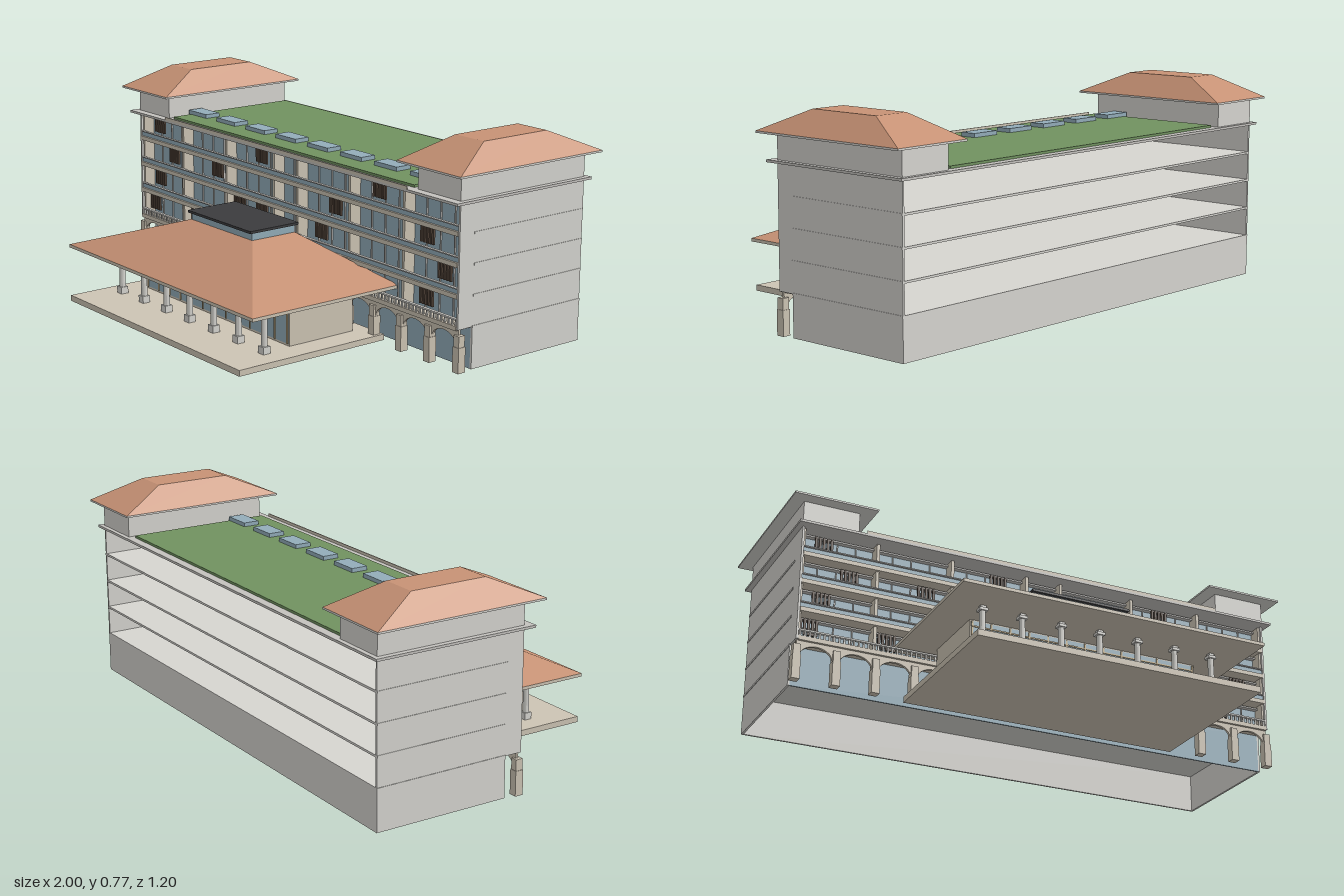
import * as THREE from 'three';

const mat = (color) => new THREE.MeshStandardMaterial({ color, side: THREE.DoubleSide, flatShading: true });

export function createModel() {
  const model = new THREE.Group();
  const wall = mat(0xd6d5d0), stone = mat(0xcdc4b4), glass = mat(0x93adba), tile = mat(0xc79275);
  const slab = mat(0xc4c2be), grass = mat(0x719260), dark = mat(0x3c3c3e), wood = mat(0x5c4c40), gold = mat(0xc9b48c);

  const add = (name, geometry, material, parent = model) => {
    const mesh = new THREE.Mesh(geometry, material);
    mesh.name = name;
    parent.add(mesh);
    return mesh;
  };
  const group = (name) => {
    const g = new THREE.Group();
    g.name = name;
    model.add(g);
    return g;
  };
  // Box given by its limits on each axis
  const box = (name, m, x0, x1, y0, y1, z0, z1, parent) => {
    const g = new THREE.BoxGeometry(x1 - x0, y1 - y0, z1 - z0);
    g.translate((x0 + x1) / 2, (y0 + y1) / 2, (z0 + z1) / 2);
    return add(name, g, m, parent);
  };
  // Hipped roof: a box whose top face is drawn in to its own limits
  const hip = (name, [x0, x1, z0, z1], y0, y1, [a0, a1, b0, b1], parent) => {
    const g = new THREE.BoxGeometry(1, 1, 1);
    const p = g.attributes.position;
    for (let i = 0; i < p.count; i++) {
      const top = p.getY(i) > 0, px = p.getX(i) > 0, pz = p.getZ(i) > 0;
      p.setXYZ(i, top ? (px ? a1 : a0) : (px ? x1 : x0), top ? y1 : y0, top ? (pz ? b1 : b0) : (pz ? z1 : z0));
    }
    g.computeVertexNormals();
    return add(name, g, tile, parent);
  };

  // Main block shell: open underneath and open at the back above the ground storey
  const shell = group('mainBlock');
  for (const s of [-1, 1]) {
    const [a, b] = s < 0 ? [-0.95, -0.942] : [0.942, 0.95];
    box('groundSideWall', wall, a, b, 0, 0.15, -0.57, -0.06, shell);
    box('upperSideWall', wall, a, b, 0.15, 0.585, -0.57, 0.005, shell);
  }
  box('groundBackWall', wall, -0.942, 0.942, 0, 0.15, -0.57, -0.562, shell);
  box('groundGlazing', glass, -0.942, 0.942, 0, 0.15, -0.066, -0.06, shell);
  box('upperGlazing', glass, -0.942, 0.942, 0.15, 0.585, -0.056, -0.05, shell);

  // Upper storeys: floor plates, balcony edges, piers, mullions and rails
  const floors = [0.15, 0.26, 0.368, 0.475];
  const piers = [-0.94, -0.66, -0.37, -0.07, 0.07, 0.37, 0.66, 0.94];
  const facade = group('facade');
  floors.forEach((y, f) => {
    const top = (floors[f + 1] ?? 0.585) - 0.004;
    box('floorPlate', wall, -0.952, 0.952, y - 0.004, y + 0.004, -0.57, -0.06, shell);
    box('balconyEdge', stone, -0.942, 0.942, y - 0.004, y + 0.012, -0.06, 0.008, facade);
    piers.forEach((x, i) => {
      box('pier', stone, x - 0.006, x + 0.006, y, top, -0.055, -0.004, facade);
      const next = piers[i + 1];
      if (next === undefined) return;
      const n = next - x > 0.2 ? 4 : 2;
      for (let k = 1; k < n; k++) {
        const mx = x + (next - x) * k / n;
        box('mullion', slab, mx - 0.002, mx + 0.002, y, top, -0.05, -0.045, facade);
      }
    });
    box('windowHead', slab, -0.942, 0.942, top - 0.014, top - 0.008, -0.05, -0.03, facade);
    if (f > 0) {
      box('balconyGlass', glass, -0.942, 0.942, y + 0.012, y + 0.03, -0.002, 0, facade);
      box('balconyRail', slab, -0.942, 0.942, y + 0.03, y + 0.034, -0.004, 0.008, facade);
    }
  });

  // Sliding slatted shutters, left edges listed for each storey
  const shutters = group('shutters');
  [[-0.93, -0.64, 0.72], [-0.89, -0.35, -0.21, 0.15, 0.81],
    [-0.79, -0.495, 0.23, 0.72], [-0.89, -0.21, 0.47]].forEach((row, f) => row.forEach((x) => {
    for (let k = 0; k < 5; k++) {
      const sx = x + k * 0.0145;
      box('shutterSlat', wood, sx, sx + 0.009, floors[f] + 0.034, floors[f] + 0.095, -0.034, -0.026, shutters);
    }
  }));

  // First floor balustrade
  const balustrade = group('balustrade');
  for (let i = 0; i <= 104; i++) {
    const x = -0.936 + i * 0.018;
    box('baluster', wall, x - 0.003, x + 0.003, 0.16, 0.182, -0.002, 0.004, balustrade);
  }
  box('balustradeRail', wall, -0.942, 0.942, 0.182, 0.188, -0.004, 0.008, balustrade);

  // Ground arcade: piers with arched panels between them
  const arcade = group('arcade');
  const pitch = 1.89 / 13;
  for (let i = 0; i <= 13; i++) {
    const x = -0.945 + i * pitch;
    box('arcadePier', stone, x - 0.013, x + 0.013, 0, 0.13, -0.02, 0.007, arcade);
    box('pierBlock', stone, x - 0.015, x + 0.015, 0, 0.09, -0.022, 0.009, arcade);
    if (i === 13) continue;
    const s = new THREE.Shape();
    s.moveTo(0, 0.15);
    s.lineTo(0, 0.09);
    s.lineTo(0.013, 0.09);
    for (let k = 1; k <= 14; k++) {
      const t = Math.PI * (1 - k / 14);
      s.lineTo(pitch / 2 + (pitch / 2 - 0.013) * Math.cos(t), 0.09 + 0.043 * Math.sin(t));
    }
    s.lineTo(pitch, 0.09);
    s.lineTo(pitch, 0.15);
    const g = new THREE.ExtrudeGeometry(s, { depth: 0.01, bevelEnabled: false });
    g.translate(x, 0, -0.012);
    add('archPanel', g, stone, arcade);
  }

  // Flat roof with lawn and skylights
  const roof = group('flatRoof');
  box('roofSlab', slab, -0.97, 0.97, 0.583, 0.592, -0.587, 0.038, roof);
  box('parapet', stone, -0.72, 0.72, 0.592, 0.603, 0.034, 0.038, roof);
  box('lawn', grass, -0.715, 0.715, 0.592, 0.601, -0.555, 0, roof);
  for (let i = 0; i < 8; i++) {
    const x = -0.67 + i * 0.19;
    box('skylight', glass, x - 0.06, x + 0.06, 0.6, 0.616, -0.145, -0.082, roof);
  }

  // End towers
  for (const s of [-1, 1]) {
    const tower = group(s < 0 ? 'rightTower' : 'leftTower');
    const c = s * 0.843;
    box('towerWall', wall, s * 0.845 - 0.105, s * 0.845 + 0.105, 0.59, 0.685, -0.57, 0.005, tower);
    box('towerEaves', wall, c - 0.157, c + 0.157, 0.682, 0.689, -0.602, 0.055, tower);
    hip('towerRoof', [c - 0.157, c + 0.157, -0.602, 0.055], 0.689, 0.768, [c - 0.069, c + 0.069, -0.418, -0.127], tower);
  }

  // Entrance pavilion
  const pavilion = group('pavilion');
  box('platform', stone, -0.535, 0.535, 0, 0.022, -0.03, 0.6, pavilion);
  box('hall', stone, -0.44, 0.44, 0.022, 0.197, 0.035, 0.317, pavilion);
  box('hallGlazing', glass, -0.435, 0.435, 0.03, 0.19, 0.315, 0.319, pavilion);
  for (let i = 0; i <= 12; i++) {
    const x = -0.432 + i * 0.072;
    box('hallMullion', gold, x - 0.003, x + 0.003, 0.03, 0.19, 0.317, 0.322, pavilion);
  }
  box('hallTransom', gold, -0.435, 0.435, 0.168, 0.173, 0.317, 0.323, pavilion);
  for (let i = -3; i <= 3; i++) {
    const x = i * 0.148;
    box('columnBase', wall, x - 0.015, x + 0.015, 0.022, 0.048, 0.413, 0.443, pavilion);
    const shaft = add('columnShaft', new THREE.CylinderGeometry(0.01, 0.012, 0.15, 12), wall, pavilion);
    shaft.position.set(x, 0.122, 0.428);
    box('columnCapital', wall, x - 0.015, x + 0.015, 0.176, 0.186, 0.413, 0.443, pavilion);
    box('columnBlock', wall, x - 0.01, x + 0.01, 0.186, 0.197, 0.418, 0.438, pavilion);
  }
  box('pavilionEaves', stone, -0.577, 0.577, 0.195, 0.207, -0.058, 0.575, pavilion);
  hip('pavilionRoof', [-0.577, 0.577, -0.058, 0.575], 0.207, 0.339, [-0.19, 0.19, 0.096, 0.287], pavilion);
  box('lantern', glass, -0.185, 0.185, 0.338, 0.367, 0.097, 0.285, pavilion);
  box('lanternCap', dark, -0.192, 0.192, 0.366, 0.375, 0.083, 0.298, pavilion);

  return model;
}
